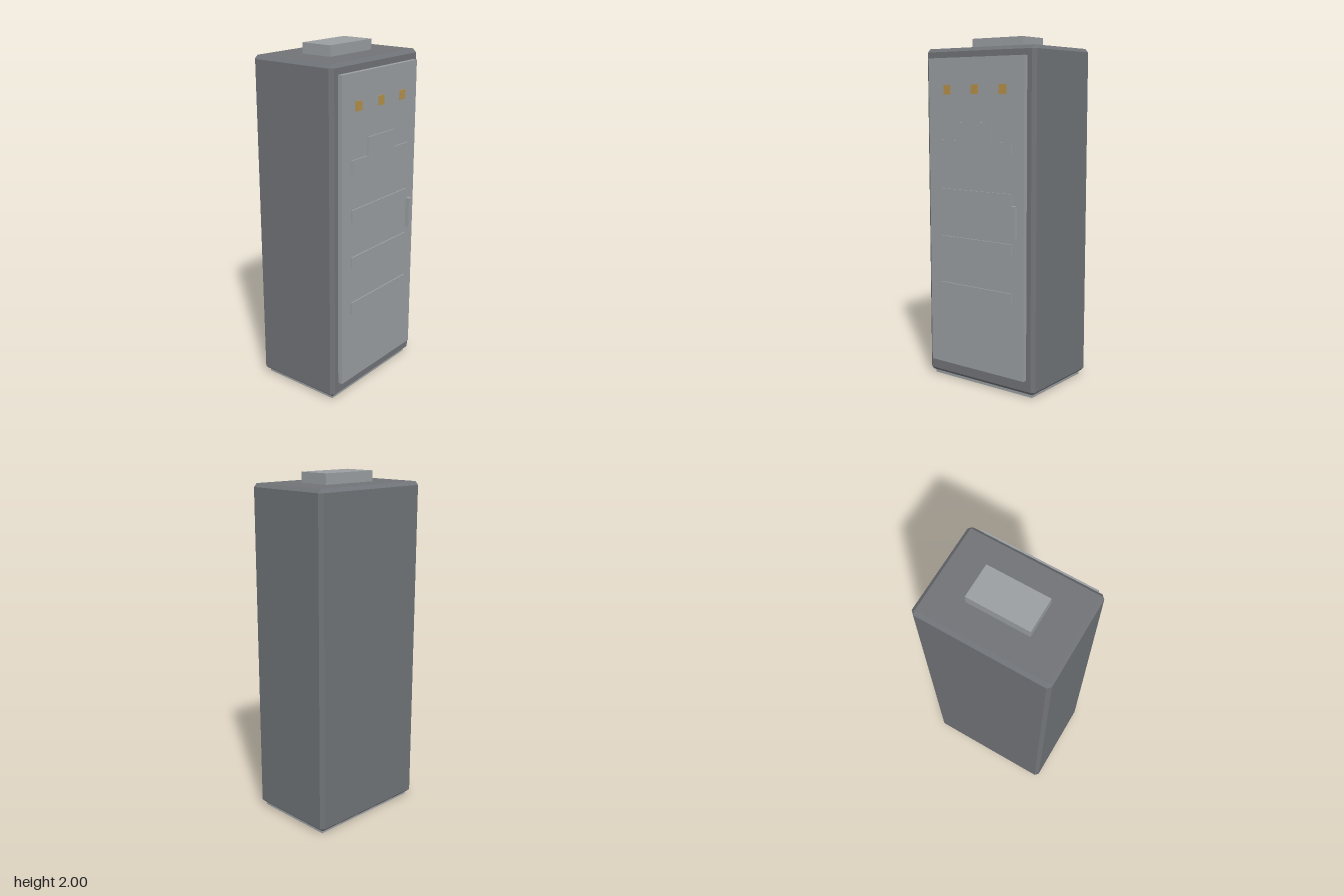
import * as THREE from 'three';
import { ConvexGeometry } from 'three/addons/geometries/ConvexGeometry.js';

const material = (name, color) => {
  const m = new THREE.MeshStandardMaterial({ color });
  m.name = name;
  return m;
};

// Box given by its limits on each axis
function block(group, name, mat, [x0, x1], [y0, y1], [z0, z1]) {
  const mesh = new THREE.Mesh(new THREE.BoxGeometry(x1 - x0, y1 - y0, z1 - z0), mat);
  mesh.position.set((x0 + x1) / 2, (y0 + y1) / 2, (z0 + z1) / 2);
  mesh.name = name;
  group.add(mesh);
  return mesh;
}

// Box with every edge and corner chamfered by c
function chamferedBox(w, h, d, c) {
  const points = [];
  for (const sx of [-1, 1]) for (const sy of [-1, 1]) for (const sz of [-1, 1]) {
    const [x, y, z] = [w / 2, h / 2, d / 2];
    points.push(
      new THREE.Vector3(sx * x, sy * (y - c), sz * (z - c)),
      new THREE.Vector3(sx * (x - c), sy * y, sz * (z - c)),
      new THREE.Vector3(sx * (x - c), sy * (y - c), sz * z));
  }
  return new ConvexGeometry(points);
}

export function createModel() {
  const group = new THREE.Group();
  group.name = 'cabinet';
  const dark = material('dark grey metal', 0x707377);
  const light = material('light grey metal', 0x9a9ea1);
  const amber = material('amber', 0xb49049);

  // Cabinet body
  const body = new THREE.Mesh(chamferedBox(0.77, 1.92, 0.553, 0.02), dark);
  body.position.set(0, 0.98, -0.0265);
  body.name = 'body';
  group.add(body);

  // Plinth and roof box
  block(group, 'plinth', light, [-0.357, 0.357], [0, 0.04], [-0.272, 0.222]);
  block(group, 'roofBox', light, [-0.179, 0.179], [1.93, 2], [-0.125, 0.072]);

  // Door and handle
  block(group, 'door', light, [-0.336, 0.336], [0.105, 1.885], [0.24, 0.277]);
  block(group, 'handle', light, [0.262, 0.291], [0.905, 1.083], [0.27, 0.302]);

  // Raised slats, and the raised plate joining the top one
  for (const y of [0.56, 0.836, 1.112]) {
    block(group, 'slat', light, [-0.257, 0.257], [y - 0.034, y + 0.034], [0.27, 0.285]);
  }
  const outline = new THREE.Shape([
    [-0.257, 1.356], [0.257, 1.356], [0.257, 1.425], [0.119, 1.425],
    [0.119, 1.527], [-0.119, 1.527], [-0.119, 1.425], [-0.257, 1.425],
  ].map(([x, y]) => new THREE.Vector2(x, y)));
  const plate = new THREE.Mesh(
    new THREE.ExtrudeGeometry(outline, { depth: 0.015, bevelEnabled: false }), light);
  plate.position.z = 0.27;
  plate.name = 'topSlat';
  group.add(plate);

  // Indicator lamps
  for (const x of [-0.198, 0, 0.196]) {
    block(group, 'lamp', amber, [x - 0.025, x + 0.025], [1.682, 1.735], [0.273, 0.282]);
  }
  return group;
}
